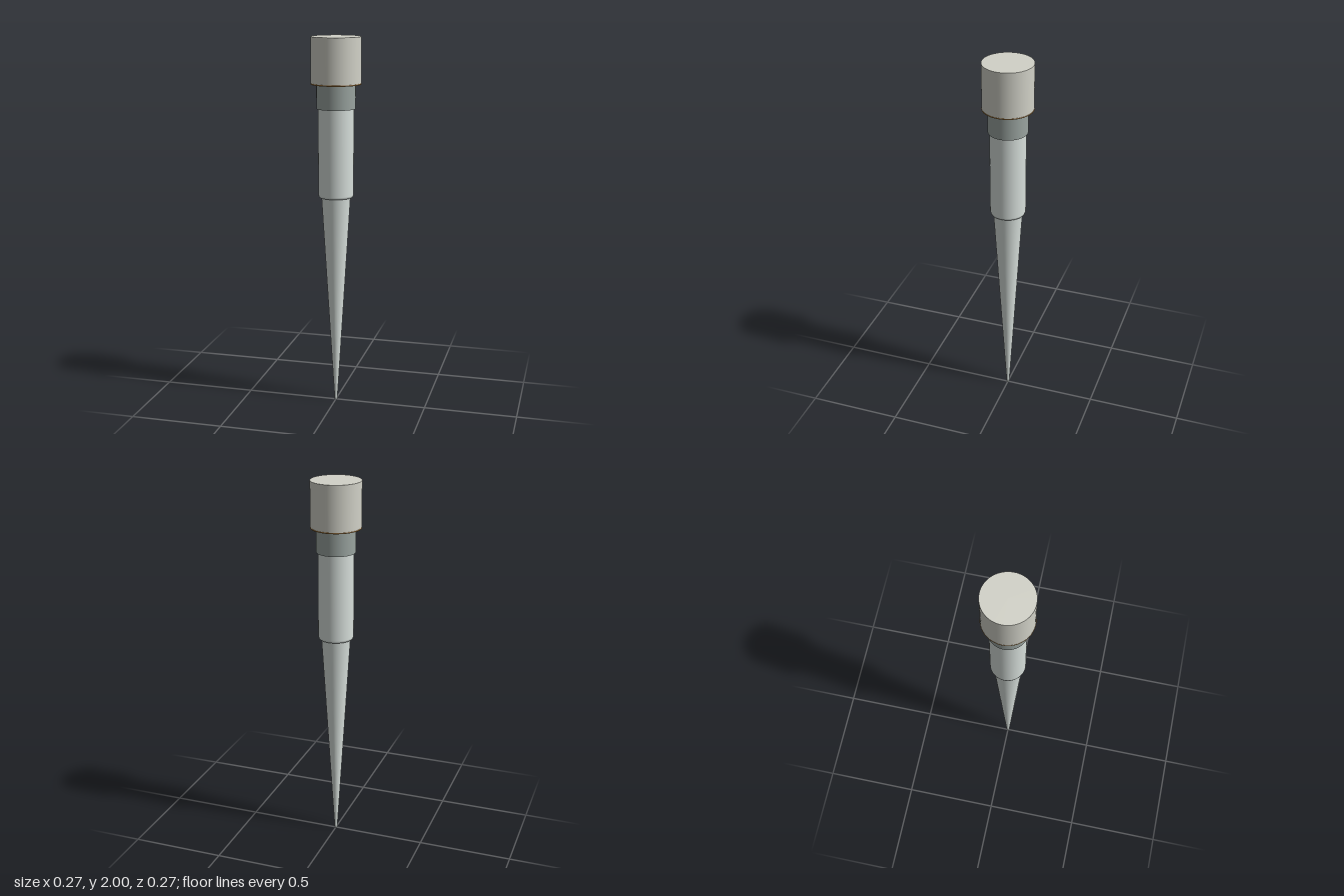
import * as THREE from 'three';

const SEGMENTS = 64;

function addPart(group, name, geometry, color, side = THREE.FrontSide) {
  const mesh = new THREE.Mesh(geometry, new THREE.MeshStandardMaterial({ color, side }));
  mesh.name = name;
  group.add(mesh);
  return mesh;
}

// Upright closed cylinder between two heights
function addDrum(group, name, radius, bottom, top, color) {
  const geometry = new THREE.CylinderGeometry(radius, radius, top - bottom, SEGMENTS);
  addPart(group, name, geometry, color).position.y = (bottom + top) / 2;
}

export function createModel() {
  const group = new THREE.Group();
  group.name = 'taperedTip';

  // Long hollow cone, small shoulder and straight sleeve in one smooth sweep
  const profile = [
    [0.007, 0], [0.077, 1.155], [0.091, 1.158], [0.094, 1.17], [0.094, 1.63],
  ].map(([r, y]) => new THREE.Vector2(r, y));
  addPart(group, 'taperedBody', new THREE.LatheGeometry(profile, SEGMENTS), 0xd8e0dc, THREE.DoubleSide);

  // Collar between sleeve and cap
  addDrum(group, 'collar', 0.103, 1.628, 1.765, 0x9aa4a0);

  // Solid cap
  addDrum(group, 'cap', 0.132, 1.757, 2, 0xd2d2c8);

  // Thin coloured band around the lower edge of the cap
  const band = new THREE.TorusGeometry(0.1295, 0.004, 10, SEGMENTS);
  band.rotateX(Math.PI / 2);
  addPart(group, 'capBand', band, 0xc8924a).position.y = 1.758;

  return group;
}
